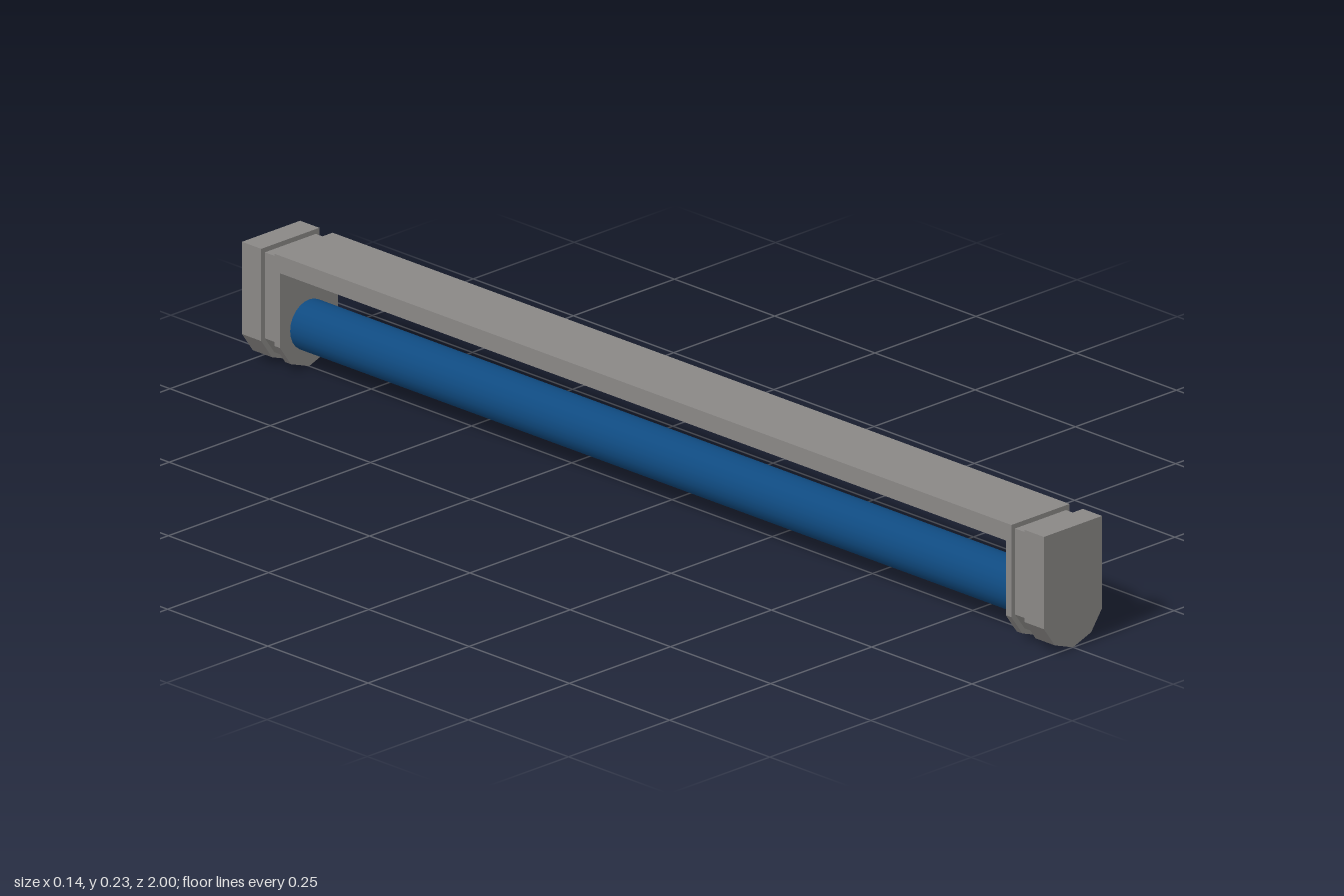
import * as THREE from 'three';

// Flat-topped plate with a faceted round bottom, spanning z0..z1
function capPlate(inset, z0, z1) {
  const k = (0.072 - inset) / 0.072, top = 0.228 - inset, bottom = inset;
  const shape = new THREE.Shape([
    [-0.072 * k, top], [-0.072 * k, 0.054 + inset * 0.3], [-0.045 * k, 0.016 + bottom * 0.9], [0, bottom],
    [0.045 * k, 0.016 + bottom * 0.9], [0.072 * k, 0.054 + inset * 0.3], [0.072 * k, top],
  ].map(([x, y]) => new THREE.Vector2(x, y)));
  const geo = new THREE.ExtrudeGeometry(shape, { depth: z1 - z0, bevelEnabled: false });
  return geo.translate(0, 0, z0);
}

export function createModel() {
  const model = new THREE.Group();
  model.name = 'tubeLight';

  const grey = new THREE.MeshStandardMaterial({ color: 0x8a8886 });
  grey.name = 'housingGrey';
  const blue = new THREE.MeshStandardMaterial({ color: 0x0f4a80 });
  blue.name = 'tubeBlue';

  const add = (parent, name, geo, mat) => {
    const mesh = new THREE.Mesh(geo, mat);
    mesh.name = name;
    parent.add(mesh);
    return mesh;
  };

  // Long top panel
  const panel = new THREE.BoxGeometry(0.144, 0.033, 1.838);
  add(model, 'topPanel', panel.translate(0, 0.2115, 0), grey);

  // Tube hanging below the panel
  const tube = new THREE.CylinderGeometry(0.047, 0.047, 1.83, 24);
  add(model, 'tube', tube.rotateX(Math.PI / 2).translate(0, 0.079, 0), blue);

  // End holders: outer cap, narrower neck and inner plate
  for (const [name, turn] of [['frontHolder', 0], ['backHolder', Math.PI]]) {
    const holder = new THREE.Group();
    holder.name = name;
    holder.rotation.y = turn;
    add(holder, 'outerCap', capPlate(0, 0.952, 1), grey);
    add(holder, 'neck', capPlate(0.009, 0.915, 0.955), grey);
    add(holder, 'innerPlate', capPlate(0, 0.905, 0.919), grey);
    model.add(holder);
  }
  return model;
}
